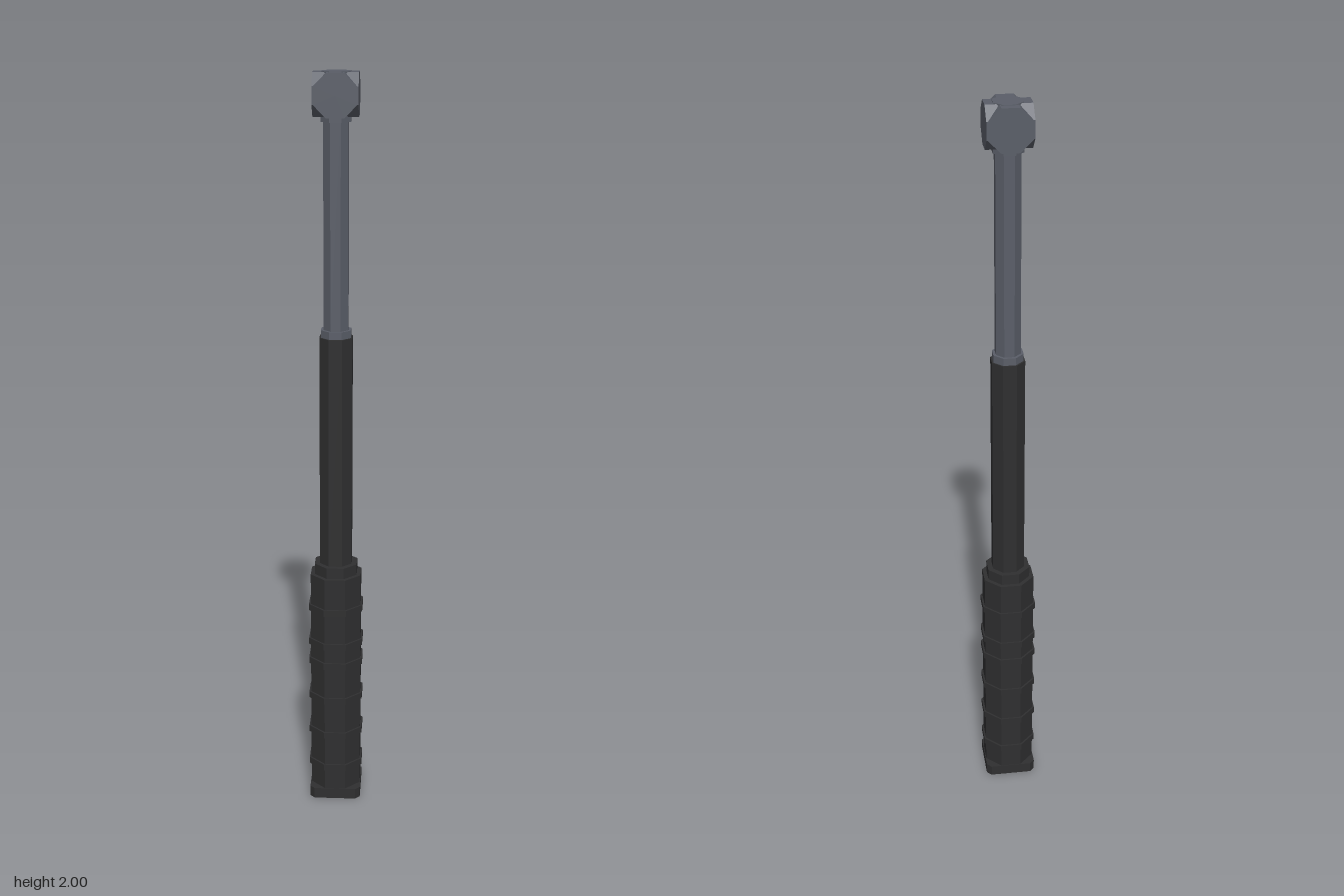
import * as THREE from 'three';

export function createModel() {
  const group = new THREE.Group();
  const steel = new THREE.MeshStandardMaterial({ color: 0x5a5e68, flatShading: true });
  steel.name = 'greySteel';
  const black = new THREE.MeshStandardMaterial({ color: 0x2f2f30, flatShading: true });
  black.name = 'blackRubber';

  // Eight-sided bar with flats facing the axes; sizes are centre-to-flat
  const octagon = (bottom, top, height) => {
    const k = 1 / Math.cos(Math.PI / 8);
    return new THREE.CylinderGeometry(top * k, bottom * k, height, 8).rotateY(Math.PI / 8);
  };
  const add = (name, geometry, material, y = 0) => {
    const mesh = new THREE.Mesh(geometry, material);
    mesh.name = name;
    mesh.position.y = y;
    group.add(mesh);
    return mesh;
  };
  const section = (name, y0, y1, bottom, top, material) =>
    add(name, octagon(bottom, top, y1 - y0), material, (y0 + y1) / 2);

  // Grip and its raised rings
  section('grip', 0, 0.665, 0.068, 0.068, black);
  section('gripCollar', 0.665, 0.695, 0.057, 0.057, black);
  for (const y of [0.098, 0.198, 0.304, 0.41, 0.468, 0.569])
    section('gripRing', y - 0.009, y + 0.009, 0.073, 0.073, black);

  // Square base flange with clipped corners
  const a = 0.07, b = 0.057;
  const outline = new THREE.Shape([
    [a, -b], [a, b], [b, a], [-b, a], [-a, b], [-a, -b], [-b, -a], [b, -a],
  ].map(([x, z]) => new THREE.Vector2(x, z)));
  add('baseFlange', new THREE.ExtrudeGeometry(outline, { depth: 0.03, bevelEnabled: false })
    .rotateX(-Math.PI / 2), black);

  // Telescoping tubes
  section('middleTube', 0.695, 1.325, 0.043, 0.043, black);
  section('tubeCollar', 1.325, 1.345, 0.039, 0.039, steel);
  section('upperTube', 1.345, 1.9, 0.032, 0.032, steel);
  section('neckCollar', 1.877, 1.9, 0.038, 0.038, steel);

  // Head: two crossed octagonal bars with a round core through them
  const cy = 1.944;
  add('headBarX', octagon(0.0545, 0.0545, 0.116).rotateZ(Math.PI / 2), steel, cy);
  add('headBarZ', octagon(0.0545, 0.0545, 0.116).rotateX(Math.PI / 2), steel, cy);
  section('headCore', 1.886, 2.0, 0.038, 0.037, steel);

  return group;
}
